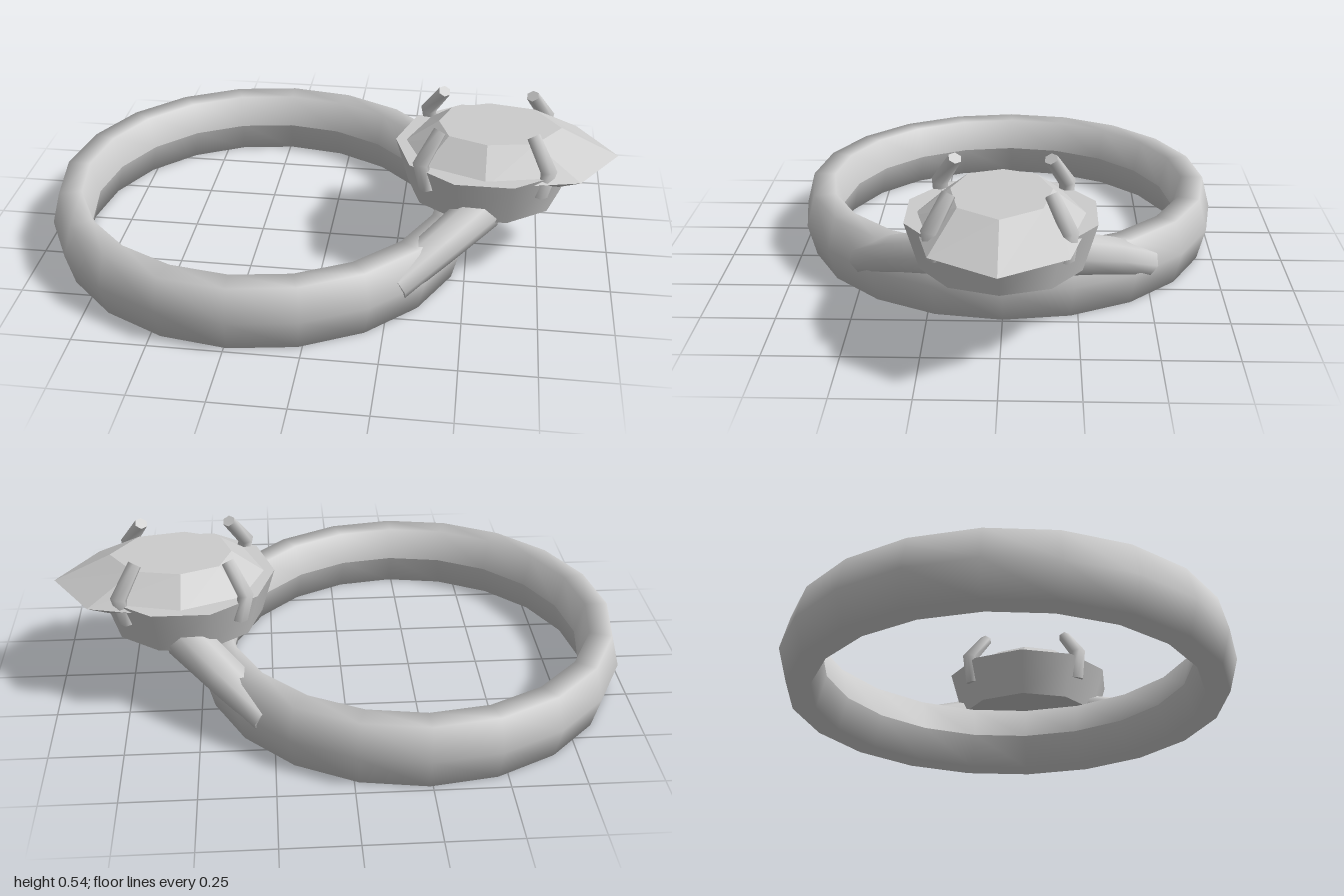
import * as THREE from 'three';

const silver = new THREE.MeshStandardMaterial({ color: 0xcccccc });
silver.name = 'silver';

const V = (x, y, z) => new THREE.Vector3(x, y, z);

// Skins cross-sections of equal point count; caps keep their own vertices so their edges stay sharp
function skin(rings, flat = false) {
  const n = rings[0].length;
  const pos = [];
  const index = [];
  const add = (p) => pos.push(p.x, p.y, p.z) / 3 - 1;
  rings.forEach((ring) => ring.forEach(add));
  for (let i = 0; i < rings.length - 1; i++) {
    for (let j = 0; j < n; j++) {
      const k = (j + 1) % n;
      const a = i * n + j, b = i * n + k, c = a + n, d = b + n;
      index.push(a, b, d, a, d, c);
    }
  }
  [rings[0], rings[rings.length - 1]].forEach((ring, end) => {
    const mid = V(0, 0, 0);
    ring.forEach((p) => mid.addScaledVector(p, 1 / n));
    const centre = add(mid);
    const first = ring.map(add)[0];
    for (let j = 0; j < n; j++) {
      const a = first + j, b = first + (j + 1) % n;
      if (end) index.push(centre, a, b);
      else index.push(centre, b, a);
    }
  });
  let geo = new THREE.BufferGeometry();
  geo.setAttribute('position', new THREE.Float32BufferAttribute(pos, 3));
  geo.setIndex(index);
  if (flat) geo = geo.toNonIndexed();
  geo.computeVertexNormals();
  return geo;
}

// Sweeps an oval along a path; sizes hold [half width, half height] per point
function sweep(points, sizes, side, sides) {
  const rings = points.map((p, i) => {
    const next = points[Math.min(i + 1, points.length - 1)];
    const prev = points[Math.max(i - 1, 0)];
    const dir = next.clone().sub(prev).normalize();
    const s = side.clone().addScaledVector(dir, -side.dot(dir)).normalize();
    const up = dir.clone().cross(s);
    return Array.from({ length: sides }, (_, j) => {
      const a = (j / sides) * Math.PI * 2;
      return p.clone()
        .addScaledVector(s, Math.cos(a) * sizes[i][0])
        .addScaledVector(up, Math.sin(a) * sizes[i][1]);
    });
  });
  return skin(rings);
}

export function createModel() {
  const group = new THREE.Group();
  const part = (name, geo) => {
    const mesh = new THREE.Mesh(geo, silver);
    mesh.name = name;
    group.add(mesh);
    return mesh;
  };

  // Finger band lying flat
  const profile = [[0.62, 0.115], [0.65, 0], [0.73, 0], [0.76, 0.115], [0.73, 0.23], [0.65, 0.23], [0.62, 0.115]];
  part('band', new THREE.LatheGeometry(profile.map(([r, y]) => new THREE.Vector2(r, y)), 20)).position.x = -0.24;

  // Cup that holds the stone
  part('settingCup', new THREE.CylinderGeometry(0.315, 0.268, 0.16, 10, 1, false, Math.PI / 2)).position.set(0.548, 0.33, 0);

  // Pear-shaped stone: half outlines mirrored in z, faceted
  const outline = (half, y) => [
    ...half.map(([x, z]) => V(x, y, -z)),
    ...half.slice(1, -1).reverse().map(([x, z]) => V(x, y, z)),
  ];
  const girdle = outline([[1, 0], [0.865, 0.21], [0.55, 0.285], [0.33, 0.2], [0.25, 0]], 0.395);
  const table = outline([[0.8, 0], [0.71, 0.13], [0.55, 0.16], [0.42, 0.11], [0.38, 0]], 0.49);
  const culet = girdle.map(() => V(0.55, 0.19, 0));
  part('stone', skin([culet, girdle, table], true));

  // Shoulders joining the band to the cup
  for (const s of [1, -1]) {
    part(s > 0 ? 'frontShoulder' : 'backShoulder', sweep(
      [V(0.27, 0.12, 0.475 * s), V(0.41, 0.2, 0.35 * s), V(0.55, 0.27, 0.2 * s)],
      [[0.065, 0.055], [0.07, 0.065], [0.075, 0.075]],
      V(1, 0, s), 8));
  }

  // Four bent claws
  for (const sx of [1, -1]) {
    for (const sz of [1, -1]) {
      const at = (x, y, z) => V(0.545 + x * sx, y, z * sz);
      part('claw', sweep(
        [at(0.19, 0.335, 0.2), at(0.212, 0.43, 0.21), at(0.155, 0.53, 0.155)],
        [[0.03, 0.025], [0.03, 0.028], [0.026, 0.022]],
        V(sx, 0, -sz), 6));
    }
  }

  return group;
}
